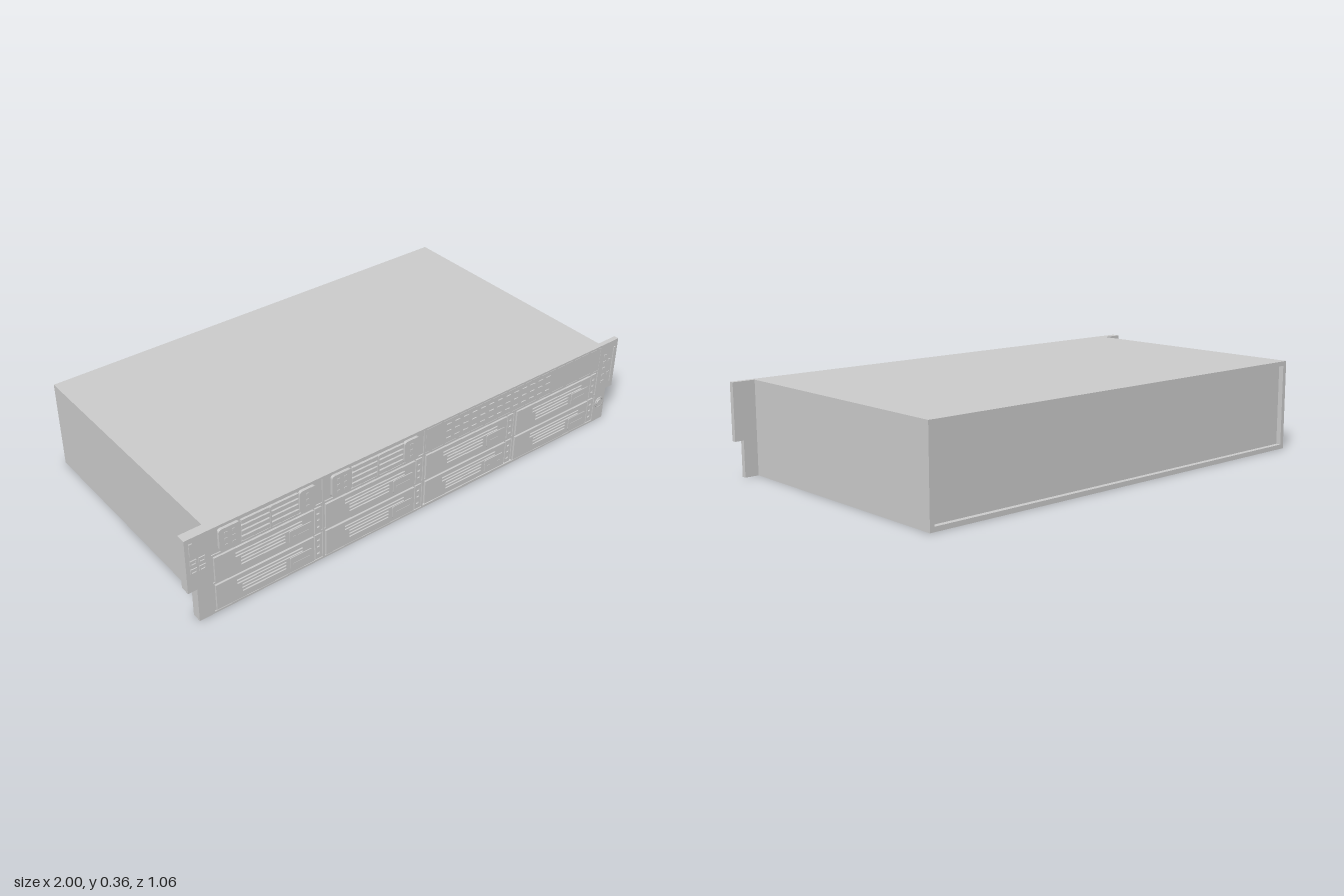
import * as THREE from 'three';

const grey = new THREE.MeshStandardMaterial({ color: 0xcccccc });
const H = 0.36, BACK = -0.53, FACE = 0.518;

export function createModel() {
  const root = new THREE.Group();
  root.name = 'rackServer';

  const add = (parent, name, geometry) => {
    const mesh = new THREE.Mesh(geometry, grey);
    mesh.name = name;
    parent.add(mesh);
    return mesh;
  };
  // Box given by its extents
  const box = (parent, name, x0, x1, y0, y1, z0, z1) => {
    const m = add(parent, name, new THREE.BoxGeometry(x1 - x0, y1 - y0, z1 - z0));
    m.position.set((x0 + x1) / 2, (y0 + y1) / 2, (z0 + z1) / 2);
    return m;
  };
  const polygon = (pts) => new THREE.Shape(pts.map(([x, y]) => new THREE.Vector2(x, y)));
  const rect = (x0, x1, y0, y1) => polygon([[x0, y0], [x1, y0], [x1, y1], [x0, y1]]);
  const roundRect = (x0, x1, y0, y1, r) => {
    const s = new THREE.Shape();
    s.moveTo(x0 + r, y0);
    s.lineTo(x1 - r, y0).quadraticCurveTo(x1, y0, x1, y0 + r);
    s.lineTo(x1, y1 - r).quadraticCurveTo(x1, y1, x1 - r, y1);
    s.lineTo(x0 + r, y1).quadraticCurveTo(x0, y1, x0, y1 - r);
    s.lineTo(x0, y0 + r).quadraticCurveTo(x0, y0, x0 + r, y0);
    return s;
  };
  const plate = (parent, name, shape, z0, z1) => {
    const m = add(parent, name,
      new THREE.ExtrudeGeometry(shape, { depth: z1 - z0, bevelEnabled: false, curveSegments: 4 }));
    m.position.z = z0;
    return m;
  };

  // Chassis with a shallow recessed rear panel
  box(root, 'chassis', -0.91, 0.91, 0, H, BACK + 0.02, 0.505);
  const rim = rect(-0.91, 0.91, 0, H);
  rim.holes.push(rect(-0.892, 0.892, 0.018, H - 0.018));
  plate(root, 'rearRim', rim, BACK, BACK + 0.02);

  // Front frame and stepped mounting ears
  box(root, 'frontPanel', -0.91, 0.91, 0, H, 0.5, FACE);
  for (const s of [-1, 1]) {
    const pts = [[0.905, 0], [0.965, 0], [0.965, 0.14], [1, 0.14], [1, H], [0.905, H]];
    const shape = polygon(pts.map(([x, y]) => [s * x, y]));
    plate(root, s < 0 ? 'rightEar' : 'leftEar', shape, s < 0 ? 0.485 : 0.502, 0.522);
  }

  // Frame bars between the bays
  const bars = new THREE.Group();
  bars.name = 'bayFrame';
  root.add(bars);
  for (let c = 1; c < 4; c++) {
    const x = -0.905 + c * 0.4525;
    box(bars, 'uprightBar', x - 0.004, x + 0.004, 0.008, c < 3 ? H : 0.245, FACE, 0.522);
  }
  for (const y of [0.004, 0.128, 0.246, 0.356]) {
    box(bars, 'crossBar', -0.905, 0.905, y - 0.004, y + 0.004, FACE, 0.522);
  }

  // Drive carrier: slotted face, latch block and indicator strip
  const driveCarrier = (x, y) => {
    const g = new THREE.Group();
    g.name = 'driveCarrier';
    g.position.set(x, y, 0);
    root.add(g);
    const face = rect(0.008, 0.408, 0, 0.106);
    for (let i = 0; i < 5; i++) {
      const sy = 0.026 + i * 0.014;
      face.holes.push(rect(0.09 + (i > 2 ? 0 : 0.02), i < 3 ? 0.29 : 0.36, sy, sy + 0.006));
    }
    plate(g, 'carrierFace', face, FACE, 0.526);
    plate(g, 'latch', roundRect(0.305, 0.398, 0.014, 0.066, 0.006), 0.526, 0.529);
    box(g, 'latchGrip', 0.318, 0.385, 0.034, 0.04, 0.529, 0.53);
    const strip = rect(0.414, 0.442, 0, 0.106);
    for (const ly of [0.02, 0.05, 0.078]) strip.holes.push(rect(0.422, 0.434, ly, ly + 0.01));
    plate(g, 'indicatorStrip', strip, FACE, 0.524);
  };
  for (let c = 0; c < 4; c++) {
    for (let r = 0; r < 2; r++) driveCarrier(-0.905 + c * 0.4525, 0.014 + r * 0.118);
  }

  // Louvred media bays, upper row
  for (const x of [-0.875, -0.42]) {
    const g = new THREE.Group();
    g.name = 'mediaBay';
    g.position.x = x;
    root.add(g);
    plate(g, 'endCap', roundRect(0, 0.085, 0.255, 0.345, 0.012), FACE, 0.529);
    plate(g, 'endCap', roundRect(0.32, 0.388, 0.255, 0.345, 0.012), FACE, 0.529);
    for (let i = 0; i < 4; i++) {
      const y = 0.257 + i * 0.023;
      box(g, 'louvre', 0.088, 0.316, y, y + 0.016, FACE, 0.527);
    }
    box(g, 'louvreRib', 0.199, 0.205, 0.257, 0.342, FACE, 0.53);
    for (const bx of [0.02, 0.05, 0.345]) {
      for (const by of [0.275, 0.3, 0.325]) box(g, 'capStud', bx, bx + 0.012, by - 0.004, by + 0.004, 0.529, 0.531);
    }
  }

  // Blank panel with rows of vent dashes
  const blank = rect(0.004, 0.902, 0.252, 0.352);
  for (let r = 0; r < 3; r++) {
    for (let i = 0; i < 13; i++) {
      const x = 0.1 + i * 0.042, y = 0.272 + r * 0.03;
      blank.holes.push(rect(x, x + 0.025, y, y + 0.004));
    }
  }
  plate(root, 'blankPanel', blank, FACE, 0.523);
  box(root, 'lowerLip', 0, 0.45, 0.012, 0.019, FACE, 0.53);

  // Ports on the right ear
  for (const y of [0.215, 0.25]) {
    for (const x of [-0.985, -0.952]) {
      const port = rect(x, x + 0.025, y, y + 0.02);
      port.holes.push(rect(x + 0.004, x + 0.021, y + 0.004, y + 0.016));
      plate(root, 'port', port, 0.522, 0.526);
    }
  }
  box(root, 'earLatch', -0.985, -0.972, 0.29, 0.34, 0.522, 0.526);

  // Power button and status lamps on the left ear
  const button = add(root, 'powerButton', new THREE.CylinderGeometry(0.015, 0.015, 0.008, 24));
  button.rotation.x = Math.PI / 2;
  button.position.set(0.935, 0.085, 0.524);
  const ring = add(root, 'buttonRing', new THREE.TorusGeometry(0.021, 0.003, 6, 28));
  ring.position.set(0.935, 0.085, 0.523);
  for (let i = 0; i < 5; i++) {
    const y = 0.18 + i * 0.03;
    box(root, 'statusLamp', 0.928, 0.942, y, y + 0.01, 0.522, 0.525);
    if (i % 2) box(root, 'lampMark', 0.955, 0.968, y, y + 0.012, 0.522, 0.525);
  }
  box(root, 'earLatch', 0.978, 0.986, 0.17, 0.33, 0.522, 0.526);

  return root;
}
